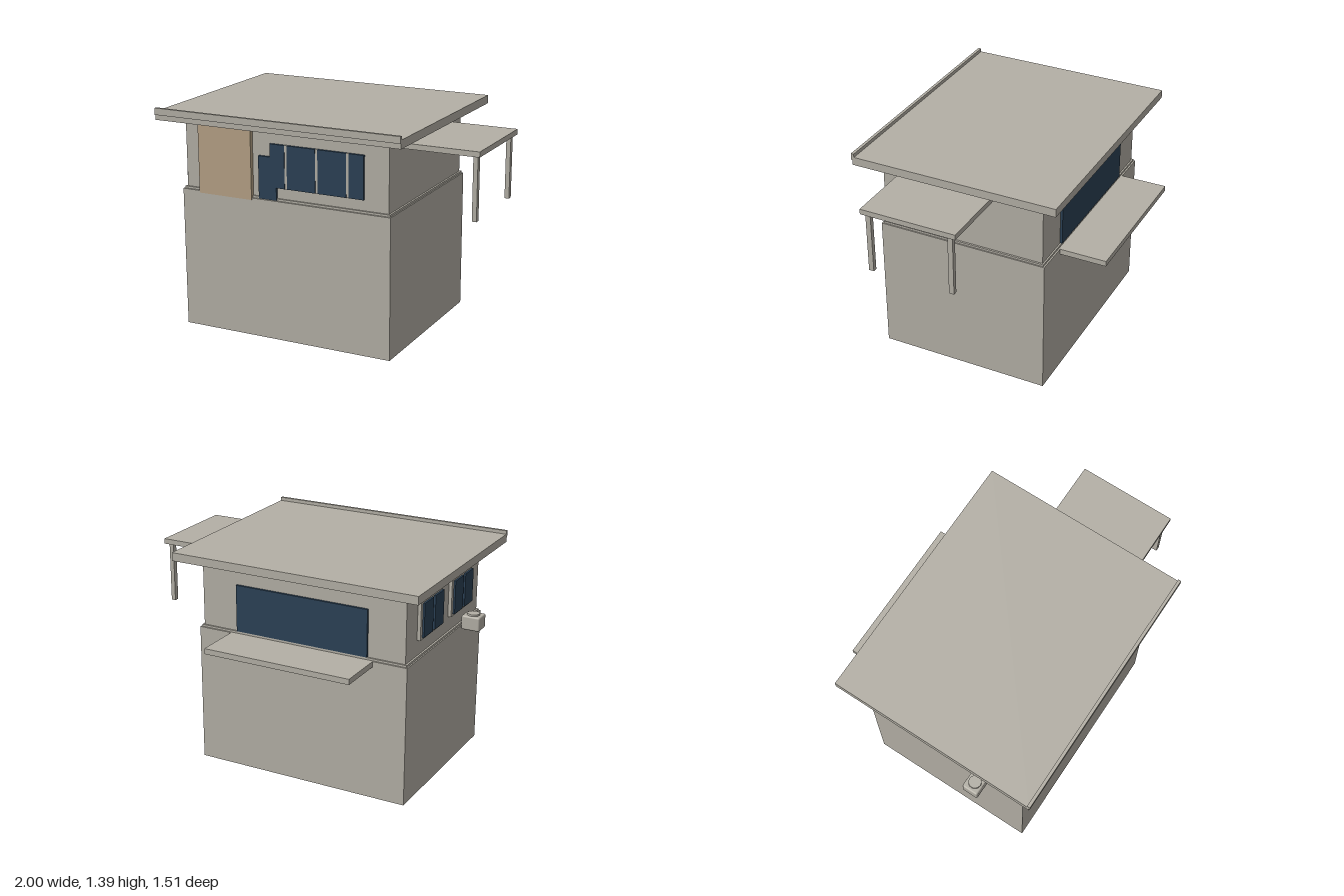
import * as THREE from 'three';
import { RoundedBoxGeometry } from 'three/addons/geometries/RoundedBoxGeometry.js';

const mat = (name, color) => {
  const m = new THREE.MeshStandardMaterial({ color });
  m.name = name;
  return m;
};

export function createModel() {
  const model = new THREE.Group();
  model.name = 'house';
  const concrete = mat('concrete grey', 0xb4b0a6);
  const wood = mat('door tan', 0xb6a286);
  const glass = mat('window navy', 0x2b4156);

  const add = (name, geometry, material, parent = model) => {
    const mesh = new THREE.Mesh(geometry, material);
    mesh.name = name;
    parent.add(mesh);
    return mesh;
  };
  // Box given by its limits on each axis
  const box = (name, [x0, x1], [y0, y1], [z0, z1], material = concrete, parent = model) => {
    const mesh = add(name, new THREE.BoxGeometry(x1 - x0, y1 - y0, z1 - z0), material, parent);
    mesh.position.set((x0 + x1) / 2, (y0 + y1) / 2, (z0 + z1) / 2);
    return mesh;
  };

  // Walls and roof
  box('lowerStorey', [-0.87, 0.53], [0, 0.88], [-0.46, 0.638]);
  box('ledge', [-0.862, 0.522], [0.88, 0.893], [-0.45, 0.626]);
  box('upperStorey', [-0.85, 0.51], [0.88, 1.32], [-0.44, 0.615]);
  box('roof', [-0.98, 0.64], [1.32, 1.372], [-0.577, 0.745]);
  box('roofFascia', [-0.98, 0.64], [1.352, 1.394], [0.733, 0.752]);

  // Tall timber panel on the front
  box('doorPanel', [-0.75, -0.385], [0.868, 1.32], [0.6, 0.642], wood);

  // Front glazing: stepped first pane, then plain panes between mullions
  const front = new THREE.Group();
  front.name = 'frontWindow';
  model.add(front);
  const outline = new THREE.Shape([
    [-0.34, 0.882], [-0.22, 0.882], [-0.22, 0.96], [-0.163, 0.96],
    [-0.163, 1.226], [-0.26, 1.226], [-0.26, 1.145], [-0.34, 1.145],
  ].map(([x, y]) => new THREE.Vector2(x, y)));
  const stepped = add('steppedPane',
    new THREE.ExtrudeGeometry(outline, { depth: 0.018, bevelEnabled: false }), glass, front);
  stepped.position.z = 0.613;
  for (const span of [[-0.147, 0.041], [0.057, 0.243], [0.259, 0.355]])
    box('pane', span, [0.96, 1.226], [0.613, 0.631], glass, front);
  for (const x of [-0.155, 0.049, 0.251])
    box('mullion', [x - 0.008, x + 0.008], [0.96, 1.226], [0.61, 0.628], concrete, front);

  // Rear window with slab below it
  box('rearWindow', [-0.61, 0.27], [0.895, 1.19], [-0.455, -0.435], glass);
  box('rearSlab', [-0.65, 0.31], [0.845, 0.88], [-0.756, -0.455]);

  // Two side windows: backing frame with two panes each
  for (const z of [-0.29, 0.155]) {
    const side = new THREE.Group();
    side.name = 'sideWindow';
    model.add(side);
    box('frame', [-0.871, -0.845], [0.99, 1.234], [z, z + 0.305], concrete, side);
    for (const start of [z + 0.025, z + 0.178])
      box('pane', [-0.883, -0.87], [1.003, 1.215], [start, start + 0.125], glass, side);
  }

  // Side canopy on two posts
  box('canopy', [0.51, 1.0], [1.252, 1.285], [-0.136, 0.477]);
  for (const z of [-0.092, 0.437])
    box('canopyPost', [0.953, 0.981], [0.866, 1.255], [z - 0.016, z + 0.016]);

  // Cooling unit with its round fan cover
  const unit = new THREE.Group();
  unit.name = 'coolingUnit';
  unit.position.set(-0.94, 0.913, 0.347);
  model.add(unit);
  add('unitCase', new RoundedBoxGeometry(0.12, 0.09, 0.104, 2, 0.01), concrete, unit);
  add('fanCover', new THREE.CylinderGeometry(0.038, 0.04, 0.012, 20), concrete, unit).position.y = 0.049;

  return model;
}
